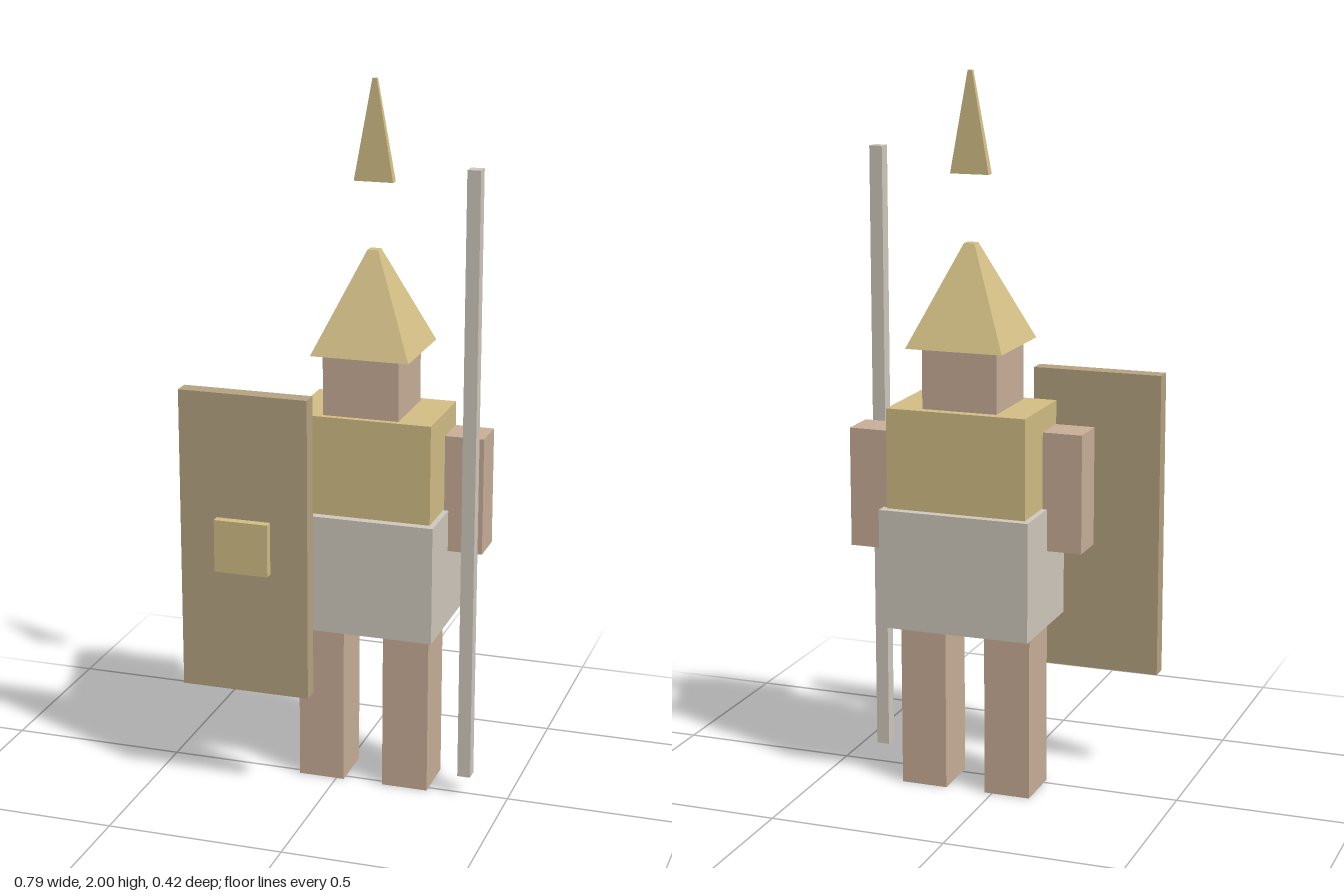
import * as THREE from 'three';

const material = (color) => new THREE.MeshStandardMaterial({ color, flatShading: true });

// Block given by its extents [min, max] on each axis
function block(name, mat, [x0, x1], [y0, y1], [z0, z1]) {
  const geometry = new THREE.BoxGeometry(x1 - x0, y1 - y0, z1 - z0);
  const mesh = new THREE.Mesh(geometry, mat);
  mesh.position.set((x0 + x1) / 2, (y0 + y1) / 2, (z0 + z1) / 2);
  mesh.name = name;
  return mesh;
}

// Block whose top face shrinks to a small square
function spire(name, mat, x, y, z, topSize) {
  const mesh = block(name, mat, x, y, z);
  const p = mesh.geometry.attributes.position;
  for (let i = 0; i < p.count; i++) {
    if (p.getY(i) > 0) {
      p.setX(i, Math.sign(p.getX(i)) * topSize / 2);
      p.setZ(i, Math.sign(p.getZ(i)) * topSize / 2);
    }
  }
  mesh.geometry.computeVertexNormals();
  return mesh;
}

export function createModel() {
  const model = new THREE.Group();
  model.name = 'blockSoldier';

  const gold = material(0xd4c086);
  const skin = material(0xcbb09a);
  const iron = material(0xd2cbbf);
  const wood = material(0xb8a583);

  // Legs
  for (const [name, x] of [['rightLeg', -0.11], ['leftLeg', 0.137]]) {
    model.add(block(name, skin, [x, x + 0.132], [0, 0.48], [-0.128, 0.02]));
  }

  // Body and head
  model.add(
    block('skirt', iron, [-0.133, 0.298], [0.48, 0.815], [-0.21, 0.097]),
    block('torso', gold, [-0.117, 0.283], [0.815, 1.095], [-0.186, 0.072]),
    block('head', skin, [-0.027, 0.187], [1.095, 1.265], [-0.16, 0.055])
  );

  // Arms, the right one held forward
  model.add(
    block('rightArm', skin, [-0.232, -0.12], [0.697, 1.03], [-0.05, 0.06]),
    block('leftArm', skin, [0.286, 0.396], [0.697, 1.03], [-0.174, -0.064])
  );

  // Pointed helmet and the loose spike floating above it
  model.add(
    spire('helmet', gold, [-0.055, 0.221], [1.265, 1.54], [-0.196, 0.081], 0.03),
    spire('spike', gold, [0.028, 0.138], [1.725, 2], [-0.07, -0.045], 0.012)
  );

  // Shield with its boss
  const shield = new THREE.Group();
  shield.name = 'shield';
  shield.add(
    block('shieldBoard', wood, [-0.398, -0.03], [0.31, 1.17], [0.135, 0.183]),
    block('shieldBoss', gold, [-0.291, -0.137], [0.665, 0.815], [0.183, 0.208])
  );
  model.add(shield);

  // Spear shaft
  model.add(block('spearShaft', iron, [0.359, 0.396], [0.06, 1.785], [-0.014, 0.023]));

  return model;
}
